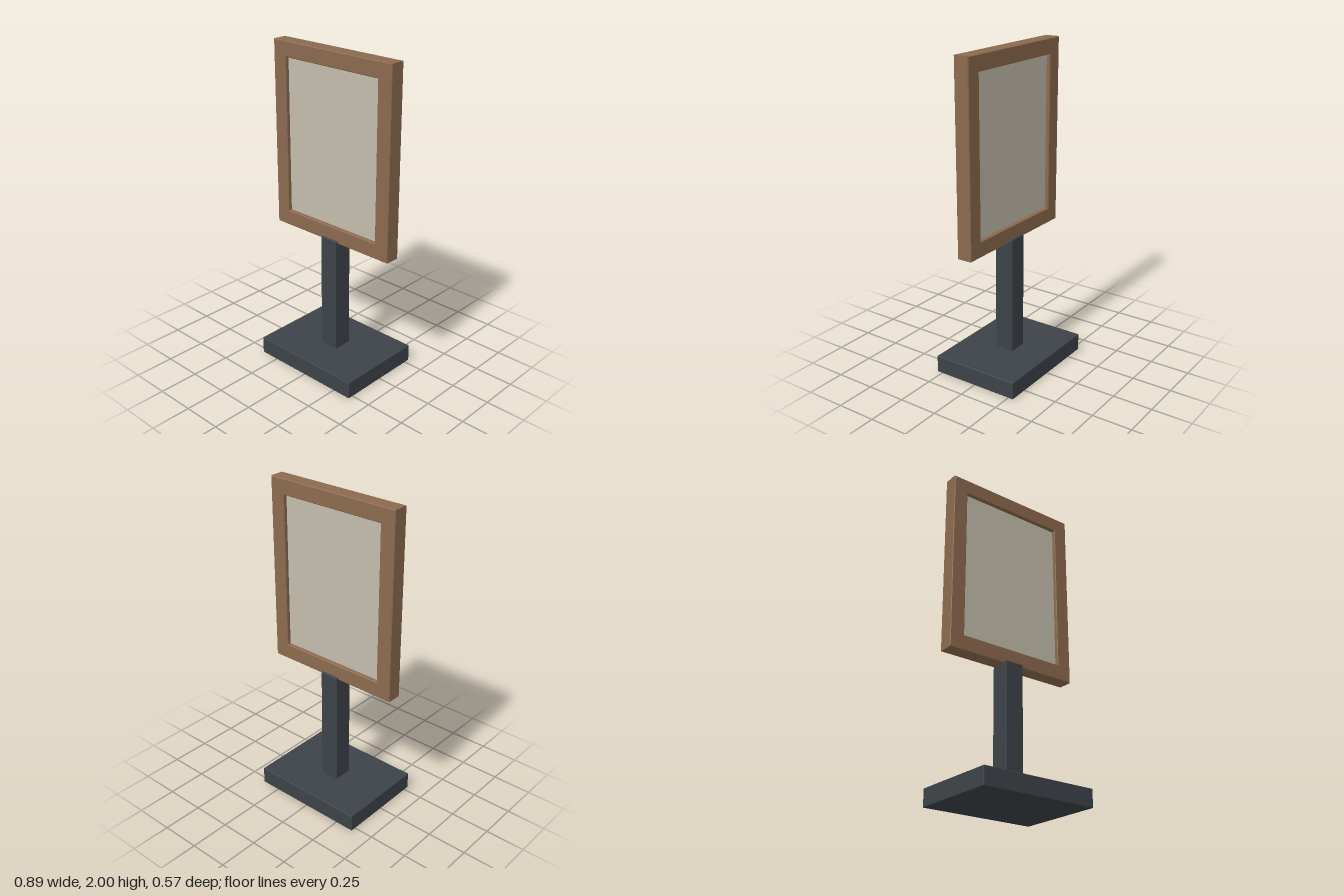
import * as THREE from 'three';
import { RoundedBoxGeometry } from 'three/addons/geometries/RoundedBoxGeometry.js';

const material = (name, color) => {
  const m = new THREE.MeshStandardMaterial({ color });
  m.name = name;
  return m;
};

// closed rectangle given by its edges
const rectangle = (PathType, x, y0, y1) => new PathType([
  new THREE.Vector2(-x, y0), new THREE.Vector2(x, y0),
  new THREE.Vector2(x, y1), new THREE.Vector2(-x, y1),
]);

export function createModel() {
  const wood = material('brown wood', 0x8b6a4e);
  const metal = material('dark grey metal', 0x3d4349);
  const board = material('pale board', 0xc4bdad);
  const model = new THREE.Group();
  model.name = 'signStand';

  const add = (name, geometry, mat, y = 0) => {
    const mesh = new THREE.Mesh(geometry, mat);
    mesh.name = name;
    mesh.position.y = y;
    model.add(mesh);
  };

  // foot plate and upright, with slightly softened edges
  add('base', new RoundedBoxGeometry(0.75, 0.11, 0.57, 2, 0.005), metal, 0.055);
  add('post', new RoundedBoxGeometry(0.124, 0.775, 0.124, 2, 0.005), metal, 0.4675);

  // picture frame with a rectangular opening and a fine bevel
  const outline = rectangle(THREE.Shape, 0.447, 0.84, 2);
  outline.holes.push(rectangle(THREE.Path, 0.351, 0.937, 1.905));
  const bevel = 0.004;
  const depth = 0.096 - 2 * bevel;
  const frame = new THREE.ExtrudeGeometry(outline, {
    depth, bevelEnabled: true, bevelThickness: bevel, bevelSize: bevel,
    bevelOffset: -bevel, bevelSegments: 1,
  });
  frame.translate(0, 0, -depth / 2);
  add('frame', frame, wood);

  // recessed panel, the same on both sides
  add('panel', new THREE.BoxGeometry(0.71, 0.976, 0.048), board, 1.421);

  return model;
}
